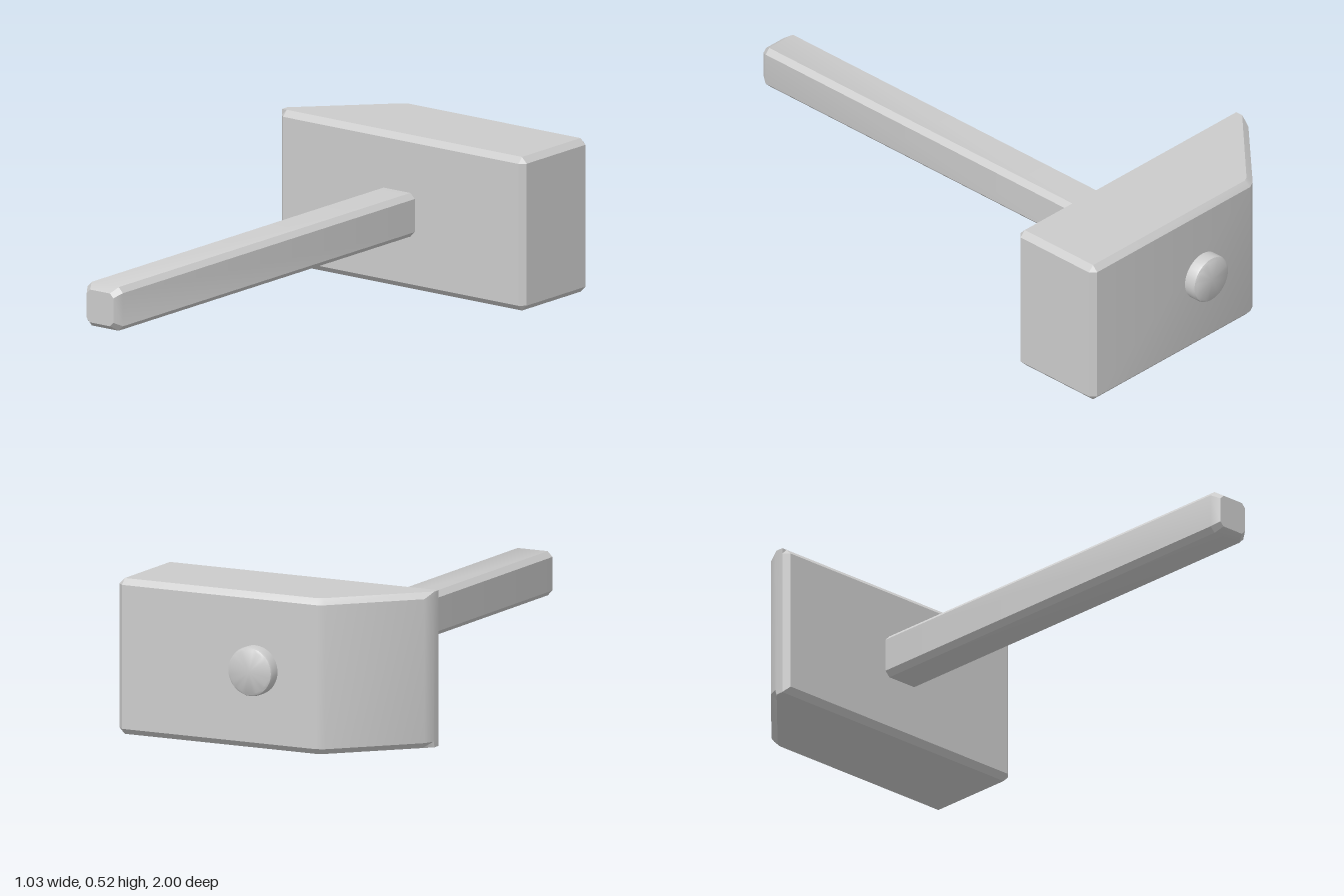
import * as THREE from 'three';
import { toCreasedNormals } from 'three/addons/utils/BufferGeometryUtils.js';

// Skin a stack of equal-length rings (counterclockwise about the stacking axis), capping both ends
function loft(rings) {
  const pos = [];
  const tri = (a, b, c) => pos.push(...a, ...b, ...c);
  const n = rings[0].length;
  for (let i = 0; i < rings.length - 1; i++) {
    for (let j = 0; j < n; j++) {
      const k = (j + 1) % n;
      const a = rings[i][j], b = rings[i][k], c = rings[i + 1][k], d = rings[i + 1][j];
      tri(a, b, c);
      tri(a, c, d);
    }
  }
  const first = rings[0], last = rings[rings.length - 1];
  for (let j = 1; j < n - 1; j++) {
    tri(first[0], first[j + 1], first[j]);
    tri(last[0], last[j], last[j + 1]);
  }
  const geo = new THREE.BufferGeometry();
  geo.setAttribute('position', new THREE.Float32BufferAttribute(pos, 3));
  return toCreasedNormals(geo, 0.6);
}

// Square with cut corners, lying across the handle at depth z
function handleRing(z, half, cut) {
  const h = half, s = half - cut, cx = -0.003, cy = 0.263;
  return [[h, -s], [h, s], [s, h], [-s, h], [-h, s], [-h, -s], [-s, -h], [s, -h]]
    .map(([x, y]) => [cx + x, cy + y, z]);
}

export function createModel() {
  const group = new THREE.Group();
  const material = new THREE.MeshStandardMaterial({ color: 0xcccccc });
  const add = (name, geometry) => {
    const mesh = new THREE.Mesh(geometry, material);
    mesh.name = name;
    group.add(mesh);
    return mesh;
  };

  // Head: block with a slanted wedge on one side and chamfered edges
  const outer = [
    [0.495, -0.603], [0.515, -0.622], [0.515, -0.935], [0.495, -0.954],
    [-0.235, -0.954], [-0.262, -0.94], [-0.5, -0.692], [-0.515, -0.655],
    [-0.515, -0.622], [-0.495, -0.603],
  ];
  const inset = [
    [0.495, -0.622], [0.495, -0.622], [0.495, -0.935], [0.495, -0.935],
    [-0.229, -0.935], [-0.247, -0.926], [-0.485, -0.68], [-0.515, -0.65],
    [-0.515, -0.622], [-0.495, -0.622],
  ];
  const level = (outline, y) => outline.map(([x, z]) => [x, y, z]);
  add('head', loft([
    level(inset, 0), level(outer, 0.02), level(outer, 0.505), level(inset, 0.525),
  ]));

  // Handle: cut-corner bar with a bevelled free end
  add('handle', loft([
    handleRing(-0.587, 0.0745, 0.018),
    handleRing(0.972, 0.0745, 0.018),
    handleRing(1, 0.056, 0.014),
  ]));

  // Round peg end on the back of the head
  const profile = [[0, 0], [0.083, 0], [0.083, 0.048], [0.08, 0.055], [0.072, 0.06], [0, 0.06]]
    .map(([r, y]) => new THREE.Vector2(r, y));
  const peg = add('pegEnd', toCreasedNormals(new THREE.LatheGeometry(profile, 32), 0.6));
  peg.rotation.x = -Math.PI / 2;
  peg.position.set(-0.007, 0.266, -0.94);

  return group;
}
